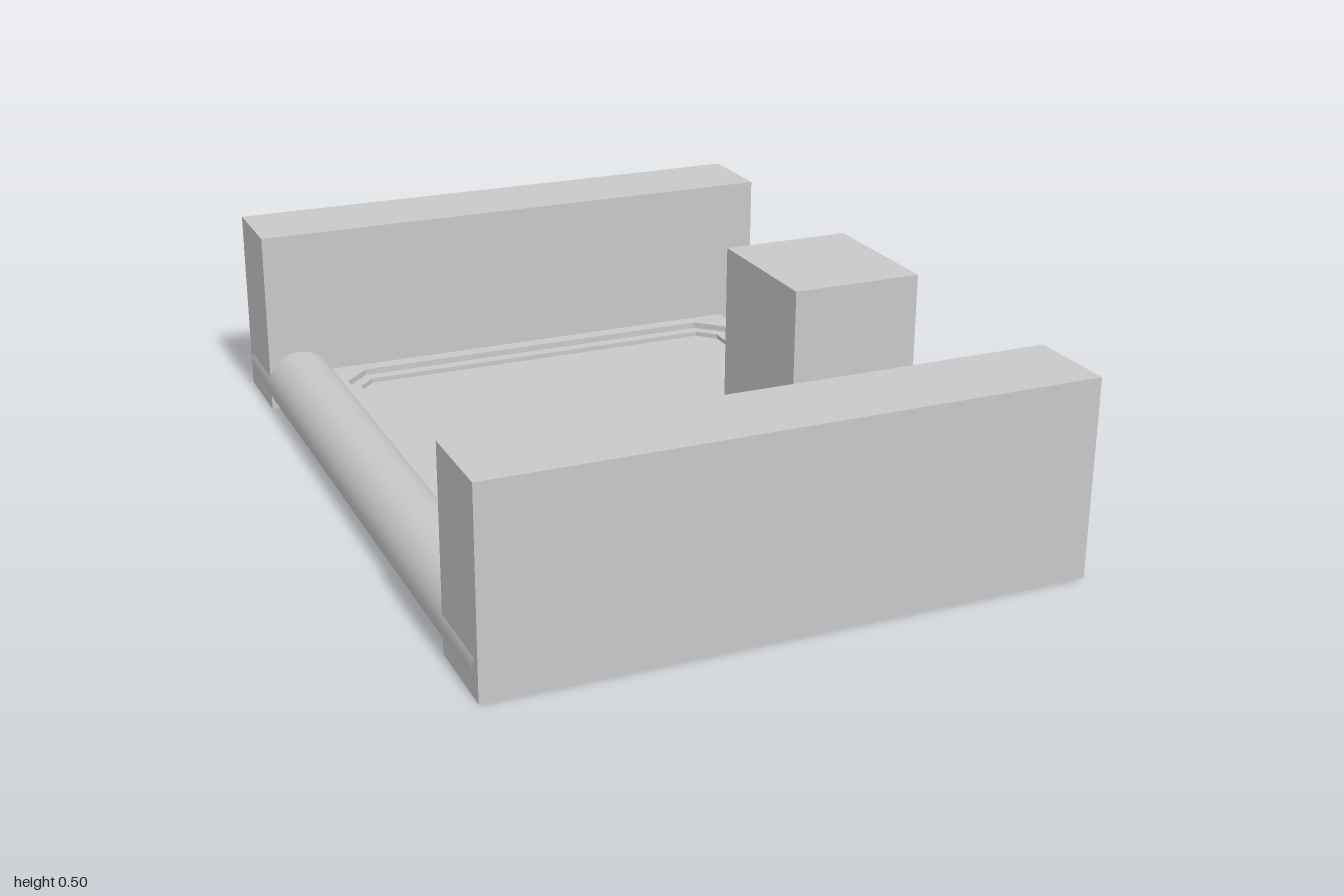
import * as THREE from 'three';

const grey = new THREE.MeshStandardMaterial({ color: 0xc8c8c8 });
grey.name = 'plain grey';

const outline = (pts, Type = THREE.Shape) => new Type(pts.map(([x, y]) => new THREE.Vector2(x, y)));
const rect = (x0, z0, x1, z1) => [[x0, z0], [x1, z0], [x1, z1], [x0, z1]];

// Horizontal plate drawn in x/z and extruded between two heights
function plate(shape, y0, y1) {
  const g = new THREE.ExtrudeGeometry(shape, { depth: y1 - y0, bevelEnabled: false });
  return g.rotateX(Math.PI / 2).translate(0, y1, 0);
}

// Chamfered border outline with a stepped front right corner, d = inset
function border(d) {
  const a = -0.552 + d, b = 0.61 - d, t = -0.715 + d, f = 0.71 - d, s = 0.64 - d;
  const c = 0.07 - d * 0.7;
  return [
    [a + c, t], [b - c, t], [b, t + c], [b, s - 0.04 + d * 0.3], [b - 0.04, s],
    [0.15 - d * 0.4, s], [0.08 - d * 0.4, f], [a + c, f], [a, f - c], [a, t + c],
  ];
}

export function createModel() {
  const model = new THREE.Group();
  const add = (name, geometry) => {
    const mesh = new THREE.Mesh(geometry, grey);
    mesh.name = name;
    model.add(mesh);
    return mesh;
  };
  const box = (name, x0, x1, y0, y1, z0, z1) =>
    add(name, new THREE.BoxGeometry(x1 - x0, y1 - y0, z1 - z0))
      .position.set((x0 + x1) / 2, (y0 + y1) / 2, (z0 + z1) / 2);

  // Two end walls and the middle block
  box('frontWall', -0.742, 0.746, 0, 0.5, 0.768, 1);
  box('backWall', -0.742, 0.746, 0, 0.5, -1, -0.768);
  box('sideBlock', 0.393, 0.746, 0, 0.5, -0.2, 0.2);

  // Rounded spine, cut flat at the ground
  const r = 0.09, cy = 0.07, cut = Math.acos(cy / r);
  const spine = new THREE.CylinderGeometry(r, r, 1.96, 64, 1, true, cut, Math.PI * 2 - cut * 2);
  spine.rotateX(Math.PI / 2).translate(-0.656, cy, 0);
  add('spine', spine);

  // Main slab with an undercut edge; its top is the sunken panel floor
  const section = outline([
    [-0.657, 0.012], [0.648, 0.012], [0.65, 0], [0.724, 0.04], [0.65, 0.04],
    [0.65, 0.07], [-0.657, 0.07],
  ]);
  const slab = new THREE.ExtrudeGeometry(section, { depth: 1.54, bevelEnabled: false });
  add('slab', slab.translate(0, 0, -0.77));

  // Edge flange with a V notch, and the low rail beside it
  add('edgeFlange', plate(outline([
    [0.64, -0.77], [0.724, -0.77], [0.724, 0.28], [0.68, 0.41], [0.724, 0.53], [0.724, 0.77], [0.64, 0.77],
  ]), 0.04, 0.067));
  box('edgeRail', 0.635, 0.657, 0.06, 0.09, -0.77, 0.77);

  // Raised frame and the step down to the panel floor
  const frame = outline(rect(-0.6, -0.757, 0.645, 0.757));
  frame.holes.push(outline(border(0), THREE.Path));
  add('panelFrame', plate(frame, 0.07, 0.1));
  const step = outline(border(0));
  step.holes.push(outline(border(0.033), THREE.Path));
  add('panelStep', plate(step, 0.07, 0.083));

  // Underside with grooves that bend around the block
  const base = outline(rect(-0.713, -0.77, 0.65, 0.77));
  const steps = 24, half = 0.006;
  for (let i = 0; i < 9; i++) {
    const near = [], far = [];
    for (let j = 0; j <= steps; j++) {
      const z = -0.74 + (1.48 * j) / steps;
      const bend = 1 - THREE.MathUtils.smoothstep(Math.abs(z), 0.18, 0.62);
      const x = 0.05 + i * THREE.MathUtils.lerp(0.068, 0.037, bend);
      near.push([x - half, z]);
      far.unshift([x + half, z]);
    }
    base.holes.push(outline([...near, ...far], THREE.Path));
  }
  add('groovedBase', plate(base, 0, 0.012));

  return model;
}
